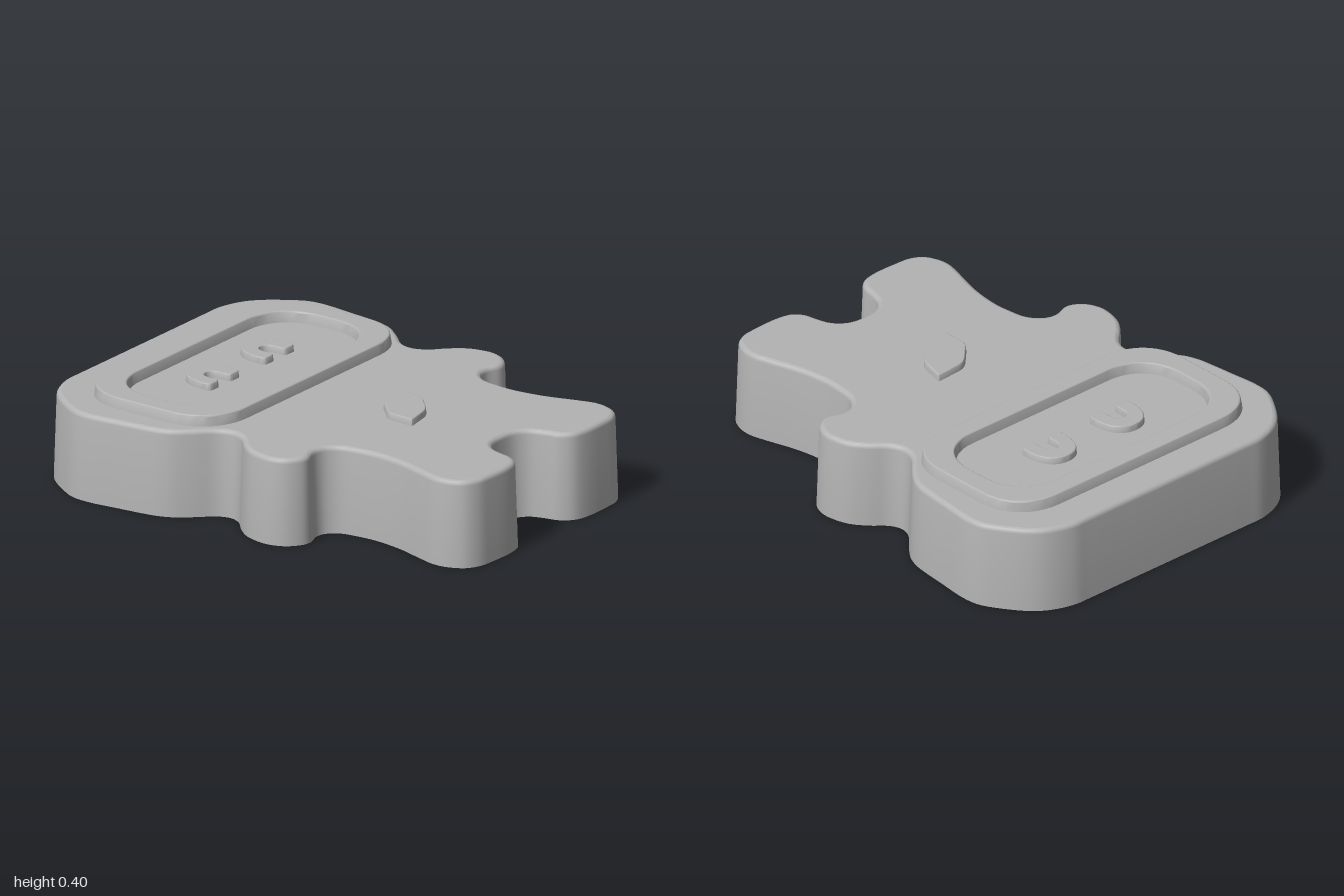
import * as THREE from 'three';
import { mergeGeometries, toCreasedNormals } from 'three/addons/utils/BufferGeometryUtils.js';

const TOP = 0.358; // height of the body's upper face

// Outlines are drawn in plan: x across, second value towards the back (-z).
const V = (x, z) => new THREE.Vector2(x, -z);

// Drop repeated points and set the winding.
function clean(points, ccw = true) {
  const out = points.filter((p, i) => p.distanceTo(points[(i + 1) % points.length]) > 1e-4);
  return THREE.ShapeUtils.isClockWise(out) === ccw ? out.reverse() : out;
}

// Move an outline into its solid side by d.
function inset(points, d) {
  const n = points.length;
  return points.map((p, i) => {
    const a = p.clone().sub(points[(i + n - 1) % n]).normalize();
    const b = points[(i + 1) % n].clone().sub(p).normalize();
    const t = a.add(b).normalize();
    return new THREE.Vector2(p.x - t.y * d, p.y + t.x * d);
  });
}

function toGeometry(positions) {
  const g = new THREE.BufferGeometry();
  g.setAttribute('position', new THREE.Float32BufferAttribute(positions, 3));
  g.computeVertexNormals();
  return g;
}

// Slab with drafted walls and a rounded upper edge; optional hole and underside.
function slab(outline, y0, y1, draft, radius, { hole, base = false } = {}) {
  const levels = [[y0, 0]];
  for (let k = 0; k <= 4; k++) {
    const a = (k / 4) * Math.PI / 2;
    levels.push([y1 - radius + radius * Math.sin(a), draft + radius * (1 - Math.cos(a))]);
  }
  const loops = [clean(outline)];
  if (hole) loops.push(clean(hole, false));
  const walls = [], caps = [];
  const put = (list, p, y) => list.push(p.x, y, -p.y);

  for (const loop of loops) {
    const rings = levels.map(([, d]) => inset(loop, d));
    for (let k = 0; k < levels.length - 1; k++) {
      const lo = levels[k][0], hi = levels[k + 1][0];
      loop.forEach((_, i) => {
        const j = (i + 1) % loop.length;
        const a = rings[k][i], b = rings[k][j], c = rings[k + 1][j], d = rings[k + 1][i];
        put(walls, a, lo); put(walls, b, lo); put(walls, c, hi);
        put(walls, a, lo); put(walls, c, hi); put(walls, d, hi);
      });
    }
  }
  const addCap = (d, y, flip) => {
    const [outer, ...holes] = loops.map(l => inset(l, d));
    const all = [outer, ...holes].flat();
    for (const f of THREE.ShapeUtils.triangulateShape(outer, holes)) {
      for (const i of flip ? [f[2], f[1], f[0]] : f) put(caps, all[i], y);
    }
  };
  addCap(draft + radius, y1, false);
  if (base) addCap(0, y0, true);
  return mergeGeometries([toCreasedNormals(toGeometry(walls), 0.6), toGeometry(caps)]);
}

// Rounded rectangle in plan, with soft corners.
function roundedRect(w, z0, z1, r) {
  const s = new THREE.Shape();
  const a = -z1, b = -z0, c = r * 0.4;
  s.moveTo(-w + r, a).lineTo(w - r, a);
  s.bezierCurveTo(w - c, a, w, a + c, w, a + r).lineTo(w, b - r);
  s.bezierCurveTo(w, b - c, w - c, b, w - r, b).lineTo(-w + r, b);
  s.bezierCurveTo(-w + c, b, -w, b - c, -w, b - r).lineTo(-w, a + r);
  s.bezierCurveTo(-w, a + c, -w + c, a, -w + r, a);
  return s.getPoints(12);
}

// Whole figure: half outline from back of head to crotch, mirrored.
function bodyOutline() {
  const half = [
    [0.25, -1], [0.42, -1], [0.5, -0.998], [0.6, -0.965], [0.667, -0.915], [0.745, -0.81],
    [0.78, -0.74], [0.788, -0.66], [0.776, -0.54], [0.763, -0.42], [0.753, -0.36],
    [0.73, -0.3], [0.677, -0.23], [0.615, -0.16], [0.6, -0.105], [0.62, -0.055],
    [0.677, 0], [0.725, 0.065], [0.746, 0.14], [0.746, 0.195], [0.72, 0.255],
    [0.667, 0.297], [0.625, 0.302], [0.565, 0.283], [0.52, 0.293], [0.482, 0.338],
    [0.467, 0.42], [0.463, 0.49], [0.48, 0.62], [0.52, 0.757], [0.539, 0.835],
    [0.532, 0.9], [0.5, 0.96], [0.445, 0.992], [0.375, 1], [0.25, 1],
    [0.185, 0.982], [0.145, 0.935], [0.13, 0.875], [0.11, 0.82], [0.068, 0.785],
  ];
  const left = half.map(([x, z]) => new THREE.Vector3(x, -z, 0));
  const right = half.map(([x, z]) => new THREE.Vector3(-x, -z, 0)).reverse();
  const curve = new THREE.CatmullRomCurve3(
    [...left, new THREE.Vector3(0, -0.775, 0), ...right], true, 'centripetal');
  return curve.getPoints(332).slice(0, -1).map(p => new THREE.Vector2(p.x, p.y));
}

// Smiling arch eye centred on x = cx.
function eyeOutline(cx) {
  const s = new THREE.Shape();
  const foot = 0.445, o = 0.102, n = 0.032;
  s.moveTo(cx + n, foot + 0.02);
  s.quadraticCurveTo(cx + n + 0.002, foot, cx + n + 0.022, foot);
  s.lineTo(cx + o - 0.022, foot);
  s.quadraticCurveTo(cx + o, foot, cx + o, foot + 0.024);
  s.bezierCurveTo(cx + o + 0.003, 0.555, cx + 0.07, 0.614, cx, 0.614);
  s.bezierCurveTo(cx - 0.07, 0.614, cx - o - 0.003, 0.555, cx - o, foot + 0.024);
  s.quadraticCurveTo(cx - o, foot, cx - o + 0.022, foot);
  s.lineTo(cx - n - 0.022, foot);
  s.quadraticCurveTo(cx - n - 0.002, foot, cx - n, foot + 0.02);
  s.lineTo(cx - n, 0.5);
  s.bezierCurveTo(cx - n + 0.002, 0.553, cx + n - 0.002, 0.553, cx + n, 0.5);
  return s.getPoints(10);
}

// Pointed leaf emblem lying diagonally on the chest.
function leafOutline() {
  const s = new THREE.Shape();
  const to = (c, e) => s.quadraticCurveTo(c[0], -c[1], e[0], -e[1]);
  s.moveTo(0.128, -0.186);
  to([0.134, 0.186], [0.132, 0.196]);
  s.lineTo(0.108, -0.285);
  to([0.104, 0.303], [0.09, 0.319]);
  s.lineTo(0.035, -0.373);
  to([0.008, 0.396], [-0.025, 0.402]);
  s.lineTo(-0.113, -0.418);
  to([-0.121, 0.419], [-0.121, 0.41]);
  s.lineTo(-0.118, -0.32);
  to([-0.118, 0.298], [-0.1, 0.28]);
  s.lineTo(-0.04, -0.221);
  to([-0.012, 0.194], [0.025, 0.192]);
  s.lineTo(0.128, -0.186);
  return s.getPoints(6);
}

export function createModel() {
  const group = new THREE.Group();
  const grey = new THREE.MeshStandardMaterial({ color: 0xb3b3b3 });
  grey.name = 'grey';
  const add = (name, geometry) => {
    const mesh = new THREE.Mesh(geometry, grey);
    mesh.name = name;
    group.add(mesh);
  };

  add('body', slab(bodyOutline(), 0, TOP, 0.011, 0.02, { base: true }));

  // Raised visor rim; its opening leaves the recessed face
  add('visorFrame', slab(roundedRect(0.655, -0.835, -0.152, 0.22), TOP, 0.402, 0.006, 0.008,
    { hole: roundedRect(0.55, -0.73, -0.257, 0.19) }));

  add('leftEye', slab(eyeOutline(0.18), TOP, 0.386, 0.002, 0.005));
  add('rightEye', slab(eyeOutline(-0.18), TOP, 0.386, 0.002, 0.005));
  add('chestLeaf', slab(leafOutline(), TOP, 0.386, 0.002, 0.005));
  return group;
}
